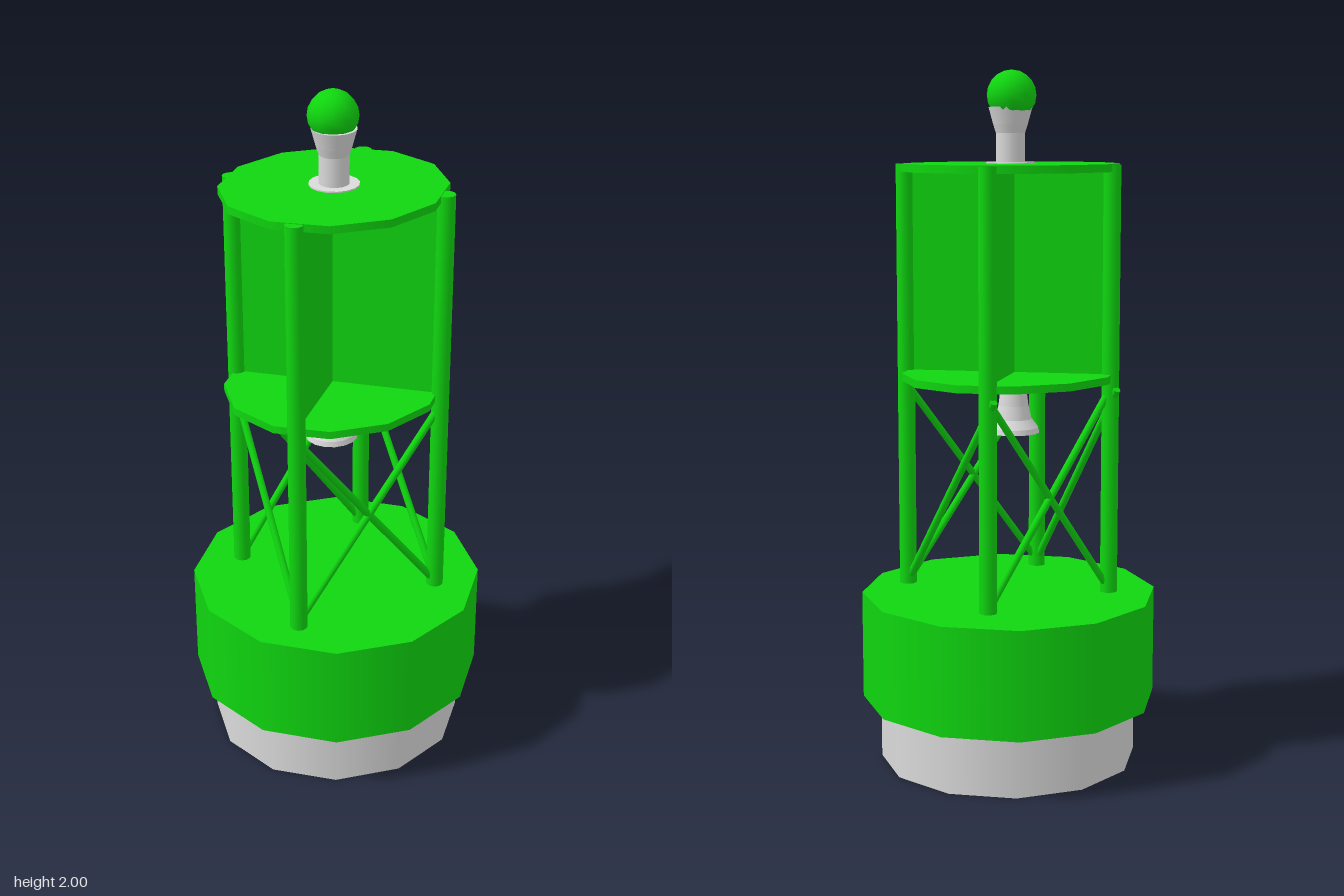
import * as THREE from 'three';

const V = (x, y, z) => new THREE.Vector3(x, y, z);

export function createModel() {
  const model = new THREE.Group();
  model.name = 'buoy';
  const green = new THREE.MeshStandardMaterial({ color: 0x0fd60f });
  green.name = 'green paint';
  const white = new THREE.MeshStandardMaterial({ color: 0xdadada, side: THREE.DoubleSide });
  white.name = 'pale grey';

  const add = (name, geometry, material, x = 0, y = 0, z = 0) => {
    const mesh = new THREE.Mesh(geometry, material);
    mesh.name = name;
    mesh.position.set(x, y, z);
    model.add(mesh);
    return mesh;
  };

  // Round bar between two points
  const bar = (name, a, b, radius, sides) => {
    const dir = b.clone().sub(a);
    const mesh = add(name, new THREE.CylinderGeometry(radius, radius, dir.length(), sides), green);
    mesh.position.copy(a).add(b).multiplyScalar(0.5);
    mesh.quaternion.setFromUnitVectors(V(0, 1, 0), dir.normalize());
    return mesh;
  };

  // Twelve-sided float on a narrower hull
  add('hull', new THREE.CylinderGeometry(0.378, 0.378, 0.185, 12), white, 0, 0.0925, 0.003).scale.z = 0.98;
  add('float', new THREE.CylinderGeometry(0.43, 0.43, 0.315, 12), green, 0, 0.3425, 0);

  // Oval platforms
  for (const [name, y] of [['lowerPlatform', 1.135], ['upperPlatform', 1.729]]) {
    add(name, new THREE.CylinderGeometry(0.32, 0.32, 0.022, 12), green, -0.01, y, 0.007).scale.z = 0.915;
  }

  // Tower legs
  const legs = {
    frontRight: [-0.24, 0.2, 0.5],
    frontLeft: [0.215, 0.215, 0.508],
    backLeft: [0.205, -0.2, 0.508],
    backRight: [-0.215, -0.2, 0.508],
  };
  for (const [key, [x, z, foot]] of Object.entries(legs)) {
    bar(`${key}Leg`, V(x, foot, z), V(x, 1.738, z), 0.025, 12);
  }

  // Diagonal braces: crossed at front and back, single at the sides
  const braces = [
    ['frontLeft', 'frontRight'], ['frontRight', 'frontLeft'],
    ['backLeft', 'backRight'], ['backRight', 'backLeft'],
    ['frontLeft', 'backLeft'], ['frontRight', 'backRight'],
  ];
  for (const [low, high] of braces) {
    const [ax, az] = legs[low];
    const [bx, bz] = legs[high];
    const reach = az * bz < 0 ? 0.03 : 0; // side braces poke past the rear legs
    bar('brace', V(ax, 0.515, az), V(bx, 1.105, bz - reach), 0.011, 8);
  }

  // Crossed reflector panels spanning opposite legs
  const panel = (low, high) => {
    const [ax, az] = legs[low];
    const [bx, bz] = legs[high];
    const length = Math.hypot(bx - ax, bz - az);
    const mesh = add('reflectorPanel', new THREE.BoxGeometry(length, 0.575, 0.009), green,
      (ax + bx) / 2, 1.432, (az + bz) / 2);
    mesh.rotation.y = -Math.atan2(bz - az, bx - ax);
  };
  panel('frontRight', 'backLeft');
  panel('backRight', 'frontLeft');

  // Turned parts; each straight run has its own lathe so its edges stay sharp
  const turned = (name, x, z, profile) => {
    for (let i = 0; i < profile.length - 1; i++) {
      const pts = [profile[i], profile[i + 1]].map(([r, y]) => new THREE.Vector2(r, y));
      add(name, new THREE.LatheGeometry(pts, 16), white, x, 0, z);
    }
  };
  turned('bell', -0.014, -0.003, [
    [0, 0.97], [0.076, 0.97], [0.072, 0.985], [0.053, 1.01], [0.044, 1.05],
    [0.039, 1.088], [0.025, 1.1], [0.014, 1.103], [0.014, 1.126],
  ]);
  turned('lampPost', -0.008, 0.004, [
    [0.07, 1.74], [0.07, 1.744], [0.042, 1.744], [0.042, 1.825],
    [0.05, 1.85], [0.063, 1.897], [0, 1.897],
  ]);

  // Lamp
  add('lamp', new THREE.SphereGeometry(0.07, 12, 10), green, -0.008, 1.93, -0.002);

  return model;
}
